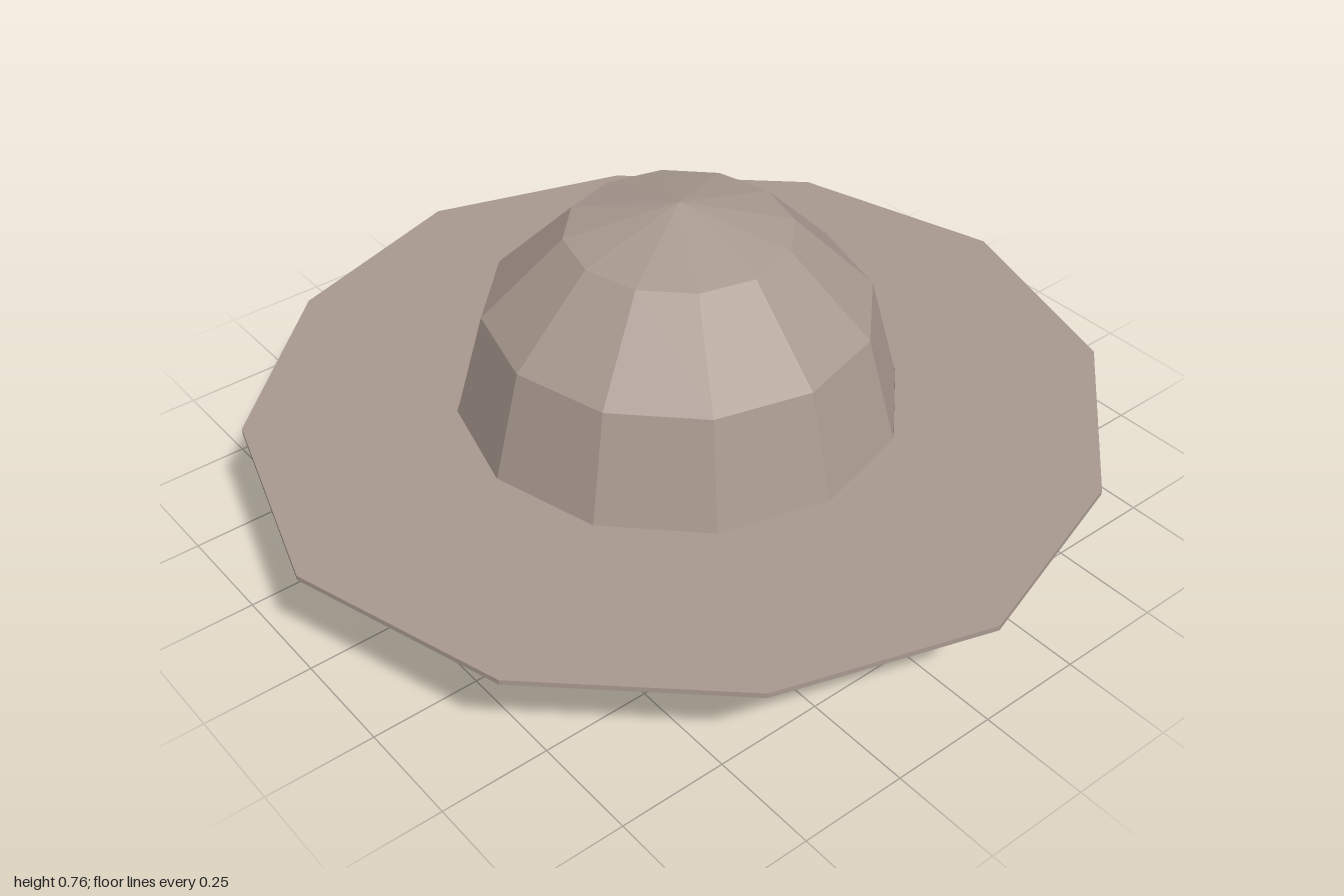
import * as THREE from 'three';

const SIDES = 12;
const RIM_Y = 0.26;
const CROWN_RADIUS = 0.508;

// Faceted solid of revolution with corners on the x and z axes
function facetedLathe(profile, material, name) {
  const mesh = new THREE.Mesh(new THREE.LatheGeometry(profile, SIDES), material);
  mesh.name = name;
  return mesh;
}

// Quarter-circle profile in three steps, between two angles in degrees
function quarterArc(radius, centreY, from, to) {
  const points = [];
  for (let i = 0; i <= 3; i++) {
    const a = THREE.MathUtils.degToRad(from + ((to - from) * i) / 3);
    points.push(new THREE.Vector2(Math.max(0, radius * Math.cos(a)), centreY + radius * Math.sin(a)));
  }
  return points;
}

export function createModel() {
  const group = new THREE.Group();
  group.name = 'hattedHead';

  const hat = new THREE.MeshStandardMaterial({ color: 0xa8998f, flatShading: true, side: THREE.DoubleSide });
  hat.name = 'hat taupe';
  const skin = new THREE.MeshStandardMaterial({ color: 0x8f8f30, flatShading: true });
  skin.name = 'olive skin';

  // Head: a low-poly capsule reaching up into the hat
  const headProfile = [...quarterArc(0.25, 0.255, -90, 0), ...quarterArc(0.25, 0.49, 0, 90)];
  group.add(facetedLathe(headProfile, skin, 'head'));

  // Crown: open hemisphere, hollow underneath
  group.add(facetedLathe(quarterArc(CROWN_RADIUS, RIM_Y, 0, 90), hat, 'crown'));

  // Brim: thin, slightly uneven twelve-sided plate with a hole for the head
  const half = [[1, 0], [0.85, 0.5], [0.475, 0.85], [0, 1], [-0.475, 0.85], [-0.85, 0.5]];
  const corners = [...half, ...half.map(([x, y]) => [-x, -y])];
  const shape = new THREE.Shape(corners.map(([x, y]) => new THREE.Vector2(x, y)));

  const hole = [];
  for (let i = 0; i < SIDES; i++) {
    const a = -(i / SIDES) * Math.PI * 2;
    hole.push(new THREE.Vector2(Math.cos(a) * CROWN_RADIUS, Math.sin(a) * CROWN_RADIUS));
  }
  shape.holes.push(new THREE.Path(hole));

  const brimGeometry = new THREE.ExtrudeGeometry(shape, { depth: 0.012, bevelEnabled: false });
  brimGeometry.rotateX(-Math.PI / 2);
  const brim = new THREE.Mesh(brimGeometry, hat);
  brim.name = 'brim';
  brim.position.y = RIM_Y - 0.005;
  group.add(brim);

  return group;
}
